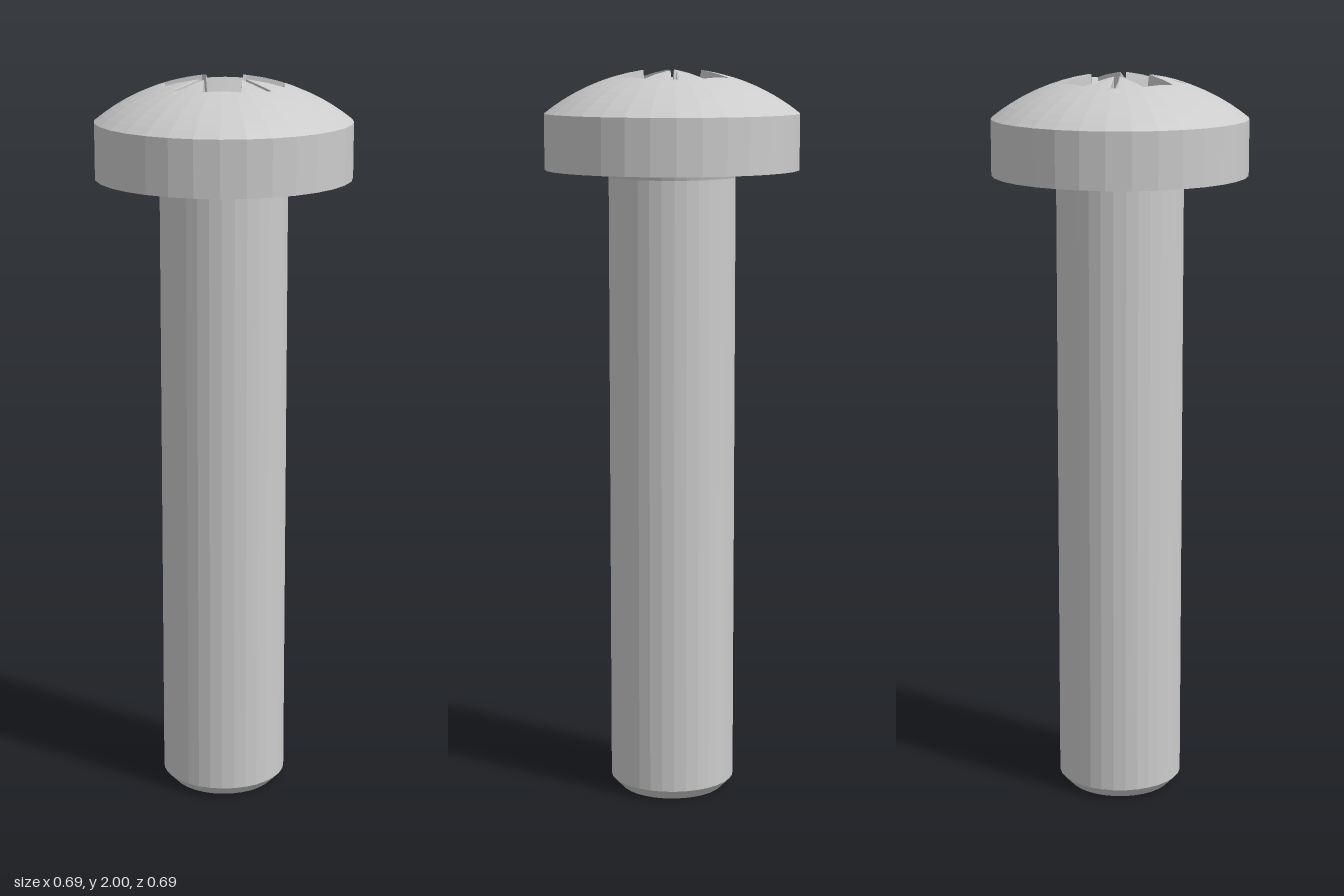
import * as THREE from 'three';

const SIDES = 32;
const RIM = 0.345, RIM_Y = 1.885, APEX = 2.0055;
const SAG = APEX - RIM_Y;
const BALL = (RIM * RIM + SAG * SAG) / (2 * SAG);   // radius of the domed top
const INNER = 0.2;                                  // where the plain dome meets the cut-out zone
const FLOOR = 1.8;

const domeY = r => APEX - BALL + Math.sqrt(BALL * BALL - r * r);
const onDome = (x, z, drop = 0) => [x, domeY(Math.hypot(x, z)) - drop, z];
const turn = ([x, y, z], q) => {
  for (let i = 0; i < q; i++) [x, z] = [-z, x];
  return [x, y, z];
};
const swap = ([x, y, z]) => [z, y, x];

const material = new THREE.MeshStandardMaterial({ color: 0xcccccc, flatShading: true });

function addMesh(group, name, geometry) {
  const mesh = new THREE.Mesh(geometry, material);
  mesh.name = name;
  group.add(mesh);
}

function lathe(profile) {
  return new THREE.LatheGeometry(profile.map(([r, y]) => new THREE.Vector2(r, y)), SIDES);
}

// Geometry from a list of polygons, each split as a fan from its first corner
function fromFaces(faces) {
  const pos = [];
  for (const f of faces)
    for (let i = 1; i < f.length - 1; i++) pos.push(...f[0], ...f[i], ...f[i + 1]);
  const g = new THREE.BufferGeometry();
  g.setAttribute('position', new THREE.Float32BufferAttribute(pos, 3));
  g.computeVertexNormals();
  return g;
}

// Repeat one eighth of the recess: mirrored over the diagonal, then turned four times
function eightfold(faces) {
  const all = [];
  for (let q = 0; q < 4; q++)
    for (const f of faces) {
      all.push(f.map(p => turn(p, q)));
      all.push(f.map(p => turn(swap(p), q)).reverse());
    }
  return all;
}

export function createModel() {
  const group = new THREE.Group();
  group.name = 'screw';

  // Shank with chamfered tip and small fillet under the head
  addMesh(group, 'shank', lathe([
    [0, 0], [0.143, 0], [0.172, 0.03], [0.172, 1.715], [0.176, 1.728], [0.185, 1.735],
  ]));

  // Head: flat underside, straight rim, domed top up to the cut-out zone
  const head = [[0.17, 1.735], [RIM, 1.735], [RIM, RIM_Y]];
  const rings = 6;
  for (let i = 1; i <= rings; i++) {
    const r = RIM + (INNER - RIM) * i / rings;
    head.push([r, domeY(r)]);
  }
  addMesh(group, 'head', lathe(head));

  // Mouth of the recess, one eighth: cross arm end, arm side, then diagonal groove
  const step = Math.PI / 16;
  const armMid = onDome(0.16, 0);
  const armStep = onDome(0.16, 0.16 * Math.tan(step));
  const armCorner = onDome(0.16, 0.05);
  const side1 = onDome(0.05 / Math.tan(2 * step), 0.05);
  const side2 = onDome(0.05 / Math.tan(3 * step), 0.05);
  const inner = onDome(0.06, 0.05);
  const tip = onDome(0.127, 0.117);
  const tipMid = onDome(0.122, 0.122);
  const eighth = [armMid, armStep, armCorner, side1, side2, inner, tip, tipMid];

  // Dome surface from the mouth out to the plain dome
  const outerPoint = ([x, , z]) => {
    const a = Math.atan2(z, x);
    const off = a - (Math.floor(a / step + 1e-6) + 0.5) * step;
    const r = INNER * Math.cos(step / 2) / Math.cos(off);
    return [r * Math.cos(a), domeY(INNER), r * Math.sin(a)];
  };
  const ROWS = 3;
  const columns = eighth.map(p => {
    const end = outerPoint(p);
    return Array.from({ length: ROWS + 1 }, (_, k) => {
      if (k === ROWS) return end;
      const t = k / ROWS;
      return onDome(p[0] + (end[0] - p[0]) * t, p[2] + (end[2] - p[2]) * t);
    });
  });
  const domeFaces = [];
  for (let i = 0; i < columns.length - 1; i++)
    for (let k = 0; k < ROWS; k++) {
      const a = columns[i], b = columns[i + 1];
      domeFaces.push([a[k], b[k], b[k + 1], a[k + 1]]);
    }
  addMesh(group, 'headTop', fromFaces(eightfold(domeFaces)));

  // Tapered walls of the cross recess and its thin diagonal grooves
  const floorMid = [0.09, FLOOR, 0], floorCorner = [0.09, FLOOR, 0.035];
  const floorInner = [0.05, FLOOR, 0.035], floorDiag = [0.0425, FLOOR, 0.0425];
  const grooveIn = [0.057, 1.95, 0.046], grooveInMid = [0.0515, 1.95, 0.0515];
  const grooveTip = onDome(0.121, 0.111, 0.02), grooveTipMid = onDome(0.116, 0.116, 0.02);
  addMesh(group, 'recessWalls', fromFaces(eightfold([
    [armCorner, armStep, armMid, floorMid, floorCorner],
    [floorCorner, floorInner, grooveIn, inner, side2, side1, armCorner],
    [floorInner, floorDiag, grooveInMid, grooveIn],
    [grooveIn, grooveTip, tip, inner],
    [grooveTip, grooveTipMid, tipMid, tip],
    [grooveIn, grooveInMid, grooveTipMid, grooveTip],
  ])));

  // Flat recess floor around a shallow conical centre
  const outline = [];
  for (let q = 0; q < 4; q++)
    for (const p of [floorCorner, floorInner, swap(floorInner), swap(floorCorner)]) {
      const [x, , z] = turn(p, q);
      outline.push(new THREE.Vector2(x, z));
    }
  const floor = new THREE.Shape(outline);
  const hole = [];
  for (let i = 0; i < SIDES; i++)
    hole.push(new THREE.Vector2(0.058 * Math.cos(i * step), 0.058 * Math.sin(i * step)));
  floor.holes.push(new THREE.Path(hole));
  addMesh(group, 'recessFloor',
    new THREE.ShapeGeometry(floor).rotateX(-Math.PI / 2).translate(0, FLOOR, 0));
  addMesh(group, 'recessCone', lathe([[0.058, FLOOR], [0, FLOOR - 0.03]]));

  return group;
}
